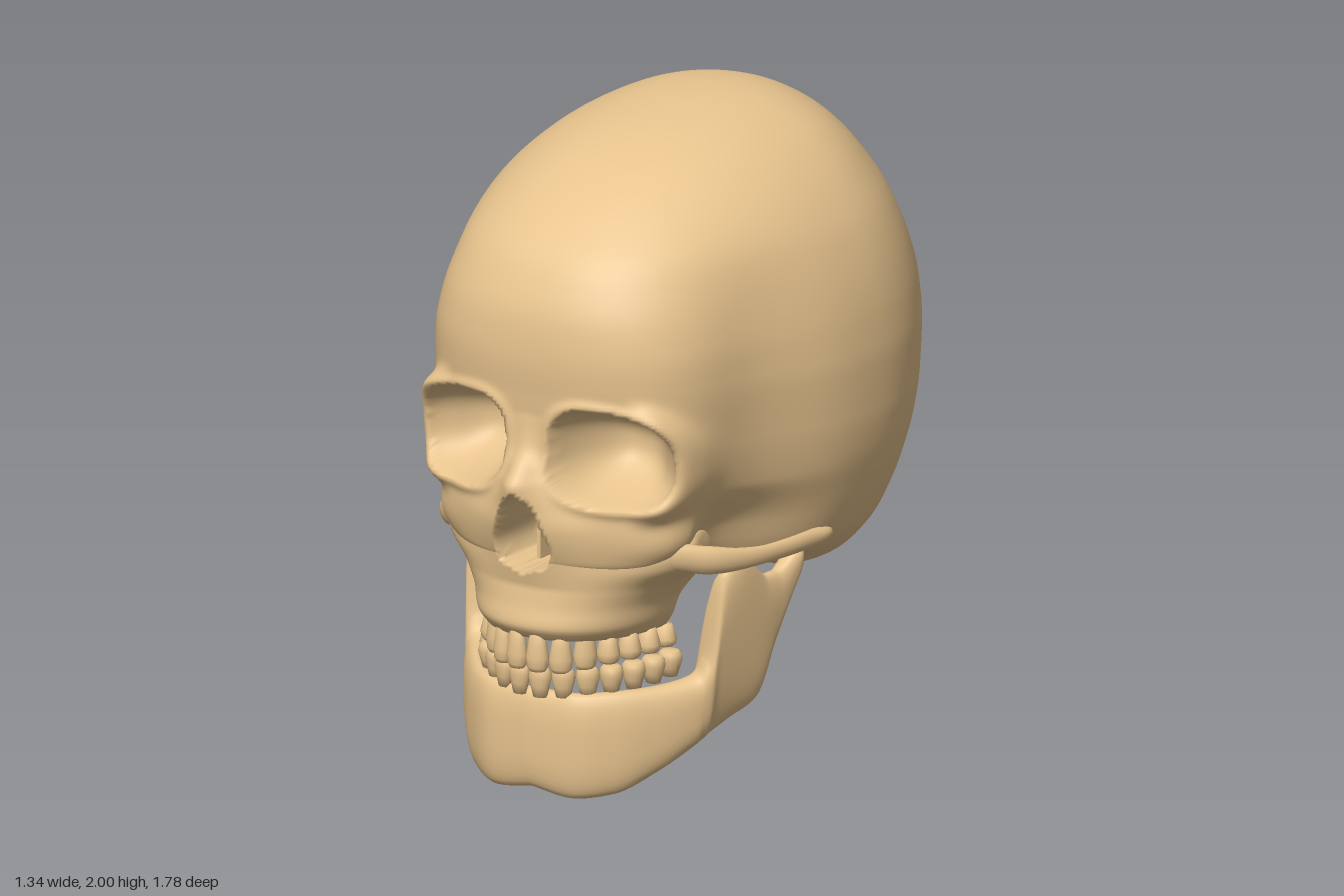
import * as THREE from 'three';

const bone = new THREE.MeshStandardMaterial({ color: 0xe8c48e, side: THREE.DoubleSide });
bone.name = 'bone';

const gauss = (d) => Math.exp(-d * d);
const mix = (a, b, t) => a + (b - a) * t;
const smooth = THREE.MathUtils.smoothstep;

// Smooth lookup through rows of [key, value, value...] without overshoot
function table(rows) {
  const slope = (i, c) => (rows[i + 1][c] - rows[i][c]) / (rows[i + 1][0] - rows[i][0]);
  const tangent = (i, c) => {
    if (i === 0) return slope(0, c);
    if (i === rows.length - 1) return slope(i - 1, c);
    const a = slope(i - 1, c), b = slope(i, c);
    return a * b <= 0 ? 0 : (2 * a * b) / (a + b);
  };
  return (k) => {
    k = Math.min(Math.max(k, rows[0][0]), rows[rows.length - 1][0]);
    let i = 0;
    while (i < rows.length - 2 && k > rows[i + 1][0]) i++;
    const h = rows[i + 1][0] - rows[i][0], t = (k - rows[i][0]) / h, t2 = t * t, t3 = t2 * t;
    return rows[i].slice(1).map((v, n) =>
      v * (2 * t3 - 3 * t2 + 1) + rows[i + 1][n + 1] * (3 * t2 - 2 * t3) +
      h * (tangent(i, n + 1) * (t3 - 2 * t2 + t) + tangent(i + 1, n + 1) * (t3 - t2)));
  };
}

// Skin over closed rings of equal point count
function skin(rings) {
  const n = rings[0].length, index = [];
  for (let j = 0; j < rings.length - 1; j++)
    for (let i = 0; i < n; i++) {
      const a = j * n + i, b = j * n + (i + 1) % n;
      index.push(a, b, b + n, a, b + n, a + n);
    }
  const g = new THREE.BufferGeometry();
  g.setAttribute('position', new THREE.Float32BufferAttribute(rings.flat(2), 3));
  g.setIndex(index);
  g.computeVertexNormals();
  return g;
}

// Horizontal ring: squarish front half, elliptic back half
function ring(y, w, zc, front, back, n, nf, nb) {
  const pts = [];
  for (let i = 0; i < nf + nb; i++) {
    const isFront = i < nf;
    const t = isFront ? -Math.PI / 2 + (Math.PI * i) / nf : Math.PI / 2 + (Math.PI * (i - nf)) / nb;
    const s = Math.sin(t);
    const c = Math.pow(Math.max(0, 1 - Math.pow(Math.abs(s), n)), 1 / n);
    pts.push([w * s, y, isFront ? zc + (front - zc) * c : zc + (back - zc) * Math.abs(Math.cos(t))]);
  }
  return pts;
}

// Nose bridge: height and spread; nose opening: half width
const bridge = table([[0.66, 0, 0.17], [0.75, 0.035, 0.18], [0.85, 0.065, 0.17], [0.92, 0.08, 0.125],
  [0.99, 0.1, 0.075], [1.03, 0.075, 0.06], [1.1, 0.025, 0.05], [1.2, 0, 0.05]]);
const opening = table([[0.71, 0.001], [0.74, 0.085], [0.79, 0.1], [0.86, 0.078], [0.93, 0.045], [0.965, 0.001]]);

// Carves eye sockets and nose, and raises the socket rims and cheekbones
function carveFace([x, y, z]) {
  if (z < 0.4 || y > 1.5) return [x, y, z];
  const ax = Math.abs(x), side = Math.sign(x), fade = smooth(z, 0.4, 0.55);
  const [h, s] = bridge(y);
  const cheek = 0.06 * fade * gauss(Math.hypot((ax - 0.41) / 0.1, (y - 0.79) / 0.085));
  const dx = ax - 0.25, dy = y - 1.085 + 0.1 * dx;
  const r = Math.pow(Math.pow(Math.abs(dx / 0.17), 2.6) + Math.pow(Math.abs(dy / 0.15), 2.6), 1 / 2.6);
  const rim = smooth(dx, 0.05, 0.15) * fade * gauss((r - 1.12) / 0.2);
  z += h * gauss(x / s) + cheek * 0.2 + 0.03 * rim;
  if (r < 1) z = mix(z, Math.min(z, 0.52), Math.pow(1 - Math.pow(r, 2.5), 0.85));
  else z += 0.012 * gauss((r - 1.08) / 0.1);
  if (y > 0.71 && y < 0.965) {
    const a = 1 - ax / opening(y)[0];
    if (a > 0) z = mix(z, 0.62, smooth(a, 0, 0.35));
  }
  return [x + side * (cheek * 0.9 + 0.035 * rim), y, z];
}

// Braincase with upper face: y, front z, back z, half width
const profile = table([
  [0.66, 0.66, -0.61, 0.53], [0.70, 0.74, -0.655, 0.56], [0.75, 0.785, -0.70, 0.585], [0.85, 0.795, -0.78, 0.62],
  [1.0, 0.79, -0.855, 0.655], [1.1, 0.785, -0.88, 0.666], [1.25, 0.795, -0.892, 0.67], [1.37, 0.804, -0.882, 0.66],
  [1.48, 0.795, -0.845, 0.64], [1.64, 0.73, -0.765, 0.585], [1.76, 0.61, -0.68, 0.51], [1.88, 0.41, -0.56, 0.39],
  [1.95, 0.2, -0.45, 0.265], [1.985, 0, -0.35, 0.16], [1.996, -0.1, -0.27, 0.08], [2, -0.2, -0.2, 0]]);
const temple = table([[0.66, 0.33], [0.8, 0.3], [0.95, 0.18], [1.2, 0.13], [1.5, 0.1], [1.75, 0.03], [2, 0]]);
const underside = table([[-0.7, 0.55], [-0.3, 0.54], [-0.1, 0.55], [0.02, 0.61], [0.3, 0.63], [0.7, 0.63]]);

function craniumRing(y) {
  const [f, b, w] = profile(y);
  const zc = y < 1.76 ? -0.12 : mix(-0.12, -0.2, (y - 1.76) / 0.24);
  const n = y < 1.4 ? 2.5 : mix(2.5, 2.1, (y - 1.4) / 0.6);
  return ring(y, w, zc, f, b, n, 180, 50).map(([x, yy, z]) => carveFace(
    [x * (1 - temple(y)[0] * gauss((z - 0.39) / 0.25) - 0.05 * gauss((z + 0.65) / 0.25)), yy, z]));
}

function craniumGeometry() {
  const rings = [], rim = craniumRing(0.66);
  // underside, running out from the open spinal hole to the rim
  for (let j = 0; j < 28; j++) {
    const k = j / 28;
    rings.push(rim.map(([x, , z]) => {
      const a = Math.atan2(x, z + 0.12);
      const px = mix(0.12 * Math.sin(a), x, k), pz = mix(-0.17 + 0.15 * Math.cos(a), z, k);
      return [px, mix(underside(pz)[0], 0.66, Math.pow(k, 4)), pz];
    }));
  }
  for (let j = 0; j < 64; j++) rings.push(craniumRing(0.66 + j * 0.01));
  for (let j = 0; j <= 34; j++) rings.push(craniumRing(1.3 + 0.7 * Math.sin((j / 34) * Math.PI / 2)));
  return skin(rings);
}

// Upper jaw with arched palate, sloping back to the skull base: y, half width, front z, back z
function upperJawGeometry() {
  const jaw = table([[0.5, 0.28, 0.8, 0.42], [0.54, 0.305, 0.825, 0.41], [0.6, 0.325, 0.812, 0.36],
    [0.66, 0.36, 0.802, 0.2], [0.73, 0.4, 0.79, 0.15], [0.8, 0.385, 0.78, 0.15], [0.88, 0.2, 0.68, 0.3]]);
  const rings = [ring(0.58, 0.001, 0.5, 0.501, 0.499, 2.2, 100, 24), ring(0.56, 0.18, 0.47, 0.69, 0.44, 2.2, 100, 24),
    ring(0.51, 0.23, 0.46, 0.75, 0.43, 2.2, 100, 24)];
  for (let y = 0.5; y < 0.885; y += 0.01) {
    const [w, f, b] = jaw(y);
    rings.push(ring(y, w, 0.46, f, b, 2.2, 100, 24).map(carveFace));
  }
  return skin(rings);
}

// Lower jaw: station, x, z, bottom, top, half thickness
function lowerJawGeometry() {
  const path = table([[0, 0, 0.755, 0.02, 0.33, 0.04], [1, 0.13, 0.742, 0, 0.33, 0.042],
    [2, 0.235, 0.675, 0.015, 0.335, 0.045], [3, 0.32, 0.57, 0.075, 0.34, 0.05], [4, 0.385, 0.465, 0.14, 0.36, 0.055],
    [5, 0.405, 0.435, 0.155, 0.42, 0.055], [5.5, 0.415, 0.41, 0.165, 0.66, 0.045], [6, 0.435, 0.34, 0.195, 0.715, 0.038],
    [7, 0.458, 0.23, 0.24, 0.635, 0.036], [8, 0.463, 0.18, 0.38, 0.635, 0.036],
    [9, 0.473, 0.1, 0.58, 0.69, 0.038], [10, 0.478, 0.055, 0.675, 0.69, 0.001]]);
  const rings = [], sgnPow = (v, p) => Math.sign(v) * Math.pow(Math.abs(v), p);
  for (let j = -80; j <= 80; j++) {
    const s = Math.abs(j) / 8, side = j < 0 ? -1 : 1;
    const [x, z, lo, hi, d] = path(s), p = path(Math.max(0, s - 0.5)), q = path(s + 0.5);
    const out = new THREE.Vector2(-(q[1] - p[1]), q[0] - p[0]).normalize();
    if (s === 0) out.set(0, 1);
    const lean = 0.1 * smooth(s, 3, 6);
    rings.push(Array.from({ length: 32 }, (_, i) => {
      const u = (i / 32) * Math.PI * 2 * side;
      const o = d * sgnPow(Math.cos(u), 0.75);
      const y = (lo + hi) / 2 - side * ((hi - lo) / 2) * sgnPow(Math.sin(u), 0.75);
      return [side * (x + out.x * o + lean * (y - 0.4)), y, z + out.y * o];
    }));
  }
  return skin(rings);
}

// Cheek arch, deep at the cheek and thin toward the ear: z, x, y, half width, half height
function cheekArchGeometry(side) {
  const path = table([[-0.08, 0.5, 0.72, 0.001, 0.001], [0, 0.545, 0.72, 0.03, 0.024], [0.15, 0.562, 0.728, 0.02, 0.028],
    [0.3, 0.55, 0.732, 0.018, 0.028], [0.42, 0.52, 0.738, 0.022, 0.035], [0.52, 0.465, 0.75, 0.035, 0.045],
    [0.6, 0.385, 0.77, 0.04, 0.045], [0.66, 0.32, 0.78, 0.001, 0.001]]);
  return skin(Array.from({ length: 45 }, (_, j) => {
    const z = -0.08 + 0.74 * (j / 44), [x, y, rx, ry] = path(z);
    return Array.from({ length: 16 }, (_, i) => {
      const a = (i / 16) * Math.PI * 2;
      return [side * x + rx * Math.cos(a), y + ry * Math.sin(a), z];
    });
  }));
}

// One row of teeth along a half-oval arch
function teeth(name, count, rx, rz, upper) {
  const row = new THREE.Group();
  row.name = name;
  const crown = [[0, -0.5], [0.34, -0.48], [0.46, -0.38], [0.5, -0.15], [0.41, 0.15], [0.3, 0.5], [0, 0.5]];
  const geo = new THREE.LatheGeometry(crown.map((p) => new THREE.Vector2(...p)), 14);
  const arch = new THREE.EllipseCurve(0, 0.42, rx, rz, 0, Math.PI);
  const spots = arch.getSpacedPoints(count * 2);
  const width = arch.getLength() / count;
  for (let i = 0; i < count; i++) {
    const p = spots[2 * i + 1], a = Math.atan2(p.x / (rx * rx), (p.y - 0.42) / (rz * rz));
    const rank = Math.abs(i - (count - 1) / 2);
    const canine = Math.round(rank - 0.5) === 2;
    const tip = upper ? (rank < 2 ? 0.395 : mix(0.405, 0.435, rank / 7)) - (canine ? 0.01 : 0)
      : mix(0.405, 0.425, rank / 7);
    const root = upper ? mix(0.53, 0.5, rank / 7) + (canine ? 0.025 : 0) : mix(0.31, 0.345, rank / 7);
    const tooth = new THREE.Mesh(geo, bone);
    tooth.name = 'tooth';
    tooth.position.set(p.x, (tip + root) / 2, p.y);
    tooth.rotation.set(0, a, upper ? 0 : Math.PI);
    tooth.scale.set(width, Math.abs(root - tip), rank < 3 ? 0.055 : 0.078);
    row.add(tooth);
  }
  return row;
}

export function createModel() {
  const skull = new THREE.Group();
  skull.name = 'skull';
  const add = (name, geo) => {
    const m = new THREE.Mesh(geo, bone);
    m.name = name;
    skull.add(m);
    return m;
  };
  add('cranium', craniumGeometry());
  add('upperJaw', upperJawGeometry());
  add('lowerJaw', lowerJawGeometry());
  add('nasalSeptum', new THREE.BoxGeometry(0.014, 0.18, 0.12)).position.set(0, 0.82, 0.67);
  add('leftCheekArch', cheekArchGeometry(1));
  add('rightCheekArch', cheekArchGeometry(-1));
  skull.add(teeth('upperTeeth', 14, 0.275, 0.375, true), teeth('lowerTeeth', 14, 0.295, 0.36, false));
  return skull;
}
